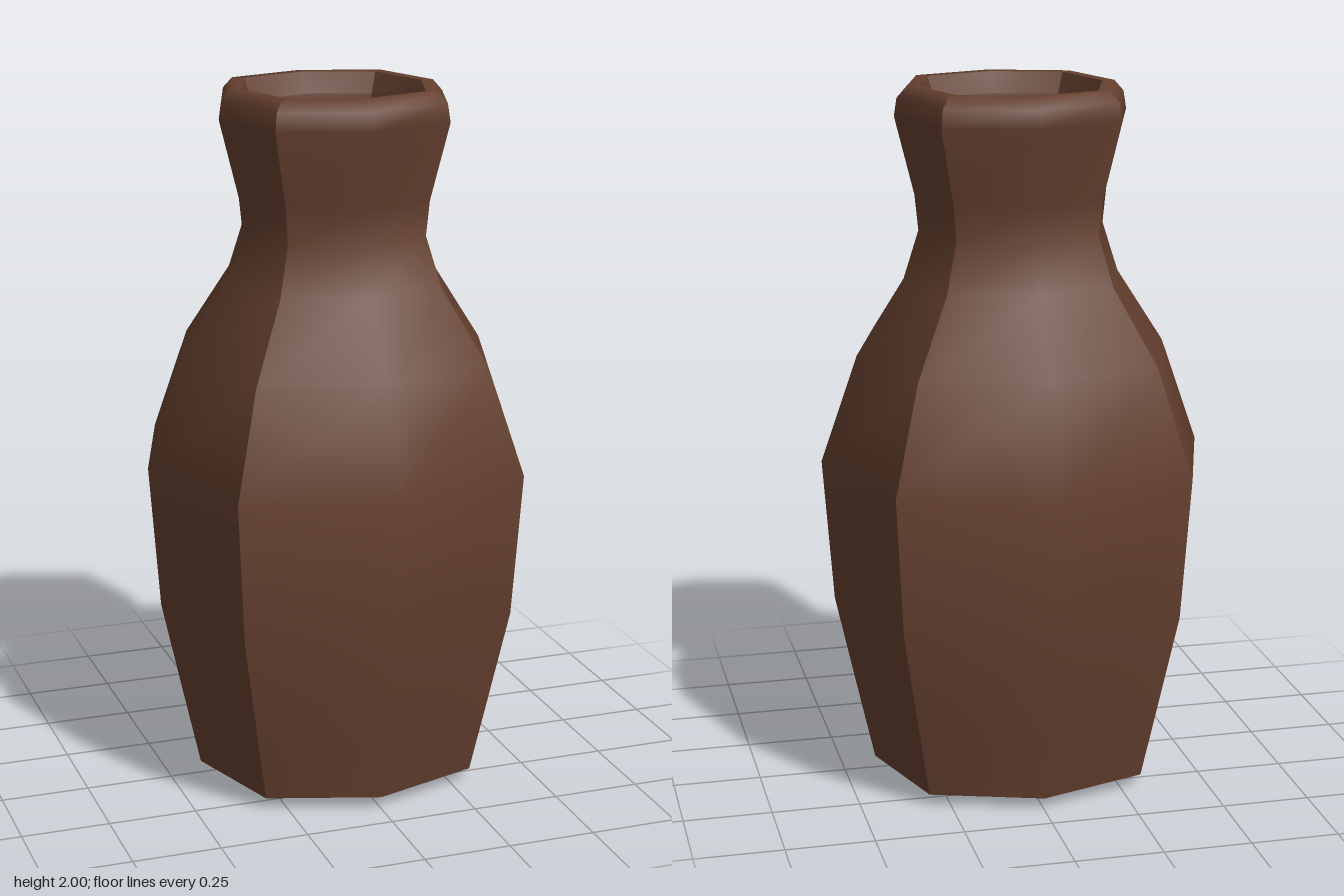
import * as THREE from 'three';
import { mergeGeometries } from 'three/addons/utils/BufferGeometryUtils.js';

// Eight-sided ring: corners alternate between the axes and the slightly wider diagonals.
const DIAGONAL = 0.755;
function ringPoint(r, step) {
  const s = ((step % 8) + 8) % 8;
  const scale = s % 2 ? r * DIAGONAL * Math.SQRT2 : r;
  const a = s * Math.PI / 4;
  return [Math.sin(a) * scale, Math.cos(a) * scale];
}

// One two-panel wide side, smooth inside itself; its outer edges stay sharp.
function side(profile, start) {
  const pos = [], index = [];
  profile.forEach(([r, y]) => {
    for (let j = 0; j < 3; j++) {
      const [x, z] = ringPoint(r, start + j);
      pos.push(x, y, z);
    }
  });
  for (let i = 0; i < profile.length - 1; i++) {
    for (let j = 0; j < 2; j++) {
      const a = i * 3 + j, b = a + 1, c = a + 3, d = a + 4;
      if (profile[i][0] > 0) index.push(a, b, d);
      if (profile[i + 1][0] > 0) index.push(a, d, c);
      else index.push(a, b, c);
    }
  }
  const g = new THREE.BufferGeometry();
  g.setAttribute('position', new THREE.Float32BufferAttribute(pos, 3));
  g.setIndex(index);
  g.computeVertexNormals();
  return g;
}

// Four sides around the axis; offset -1 puts the creases on the diagonals, 0 on the axes.
function shell(profile, offset = -1) {
  return mergeGeometries([0, 2, 4, 6].map((s) => side(profile, s + offset)));
}

export function createModel() {
  const clay = new THREE.MeshStandardMaterial({ color: 0x65402f });
  clay.name = 'brown clay';
  const group = new THREE.Group();
  group.name = 'vase';
  const add = (name, geometry) => {
    const mesh = new THREE.Mesh(geometry, clay);
    mesh.name = name;
    group.add(mesh);
  };

  // Slightly domed underside
  add('base', shell([[0, 0.005], [0.31, 0.015], [0.41, 0.04]]));

  // Belly, shoulder, neck and rolled lip
  add('body', shell([
    [0.41, 0.04], [0.45, 0.22], [0.52, 0.54], [0.55, 0.95], [0.445, 1.25],
    [0.31, 1.46], [0.265, 1.6], [0.275, 1.7], [0.33, 1.92], [0.322, 1.97],
    [0.295, 2], [0.26, 2],
  ]));

  // Mouth bevel and inside of the neck
  add('mouth', shell([[0.26, 2], [0.237, 1.94]]));
  add('innerNeck', shell([[0.237, 1.94], [0.17, 1.6]]));

  // Sunken faceted floor
  add('innerFloor', shell([[0.17, 1.6], [0, 1.45]], 0));
  return group;
}
